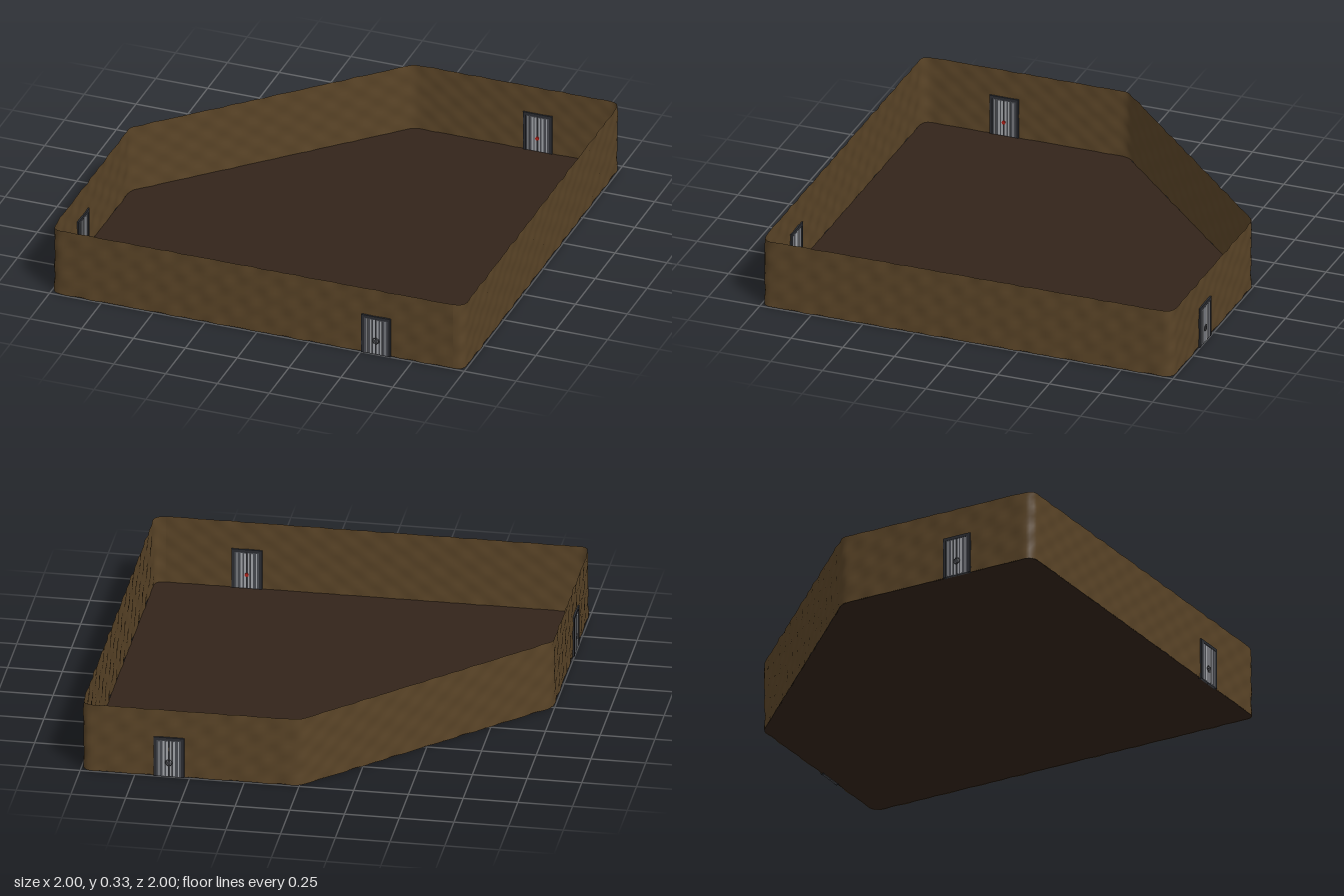
import * as THREE from 'three';

const HEIGHT = 0.33;
const EDGE = 0.993; // middle of the thin wall

const paint = (color, side = THREE.FrontSide) => new THREE.MeshStandardMaterial({ color, side, roughness: 0.9 });

function part(name, geometry, material, x = 0, y = 0, z = 0) {
  const mesh = new THREE.Mesh(geometry, material);
  mesh.name = name;
  mesh.position.set(x, y, z);
  return mesh;
}

// Five-sided plan with rounded corners; shape y is -z
function planShape() {
  const e = EDGE;
  const corners = [[e, -e, 0.05], [e, e, 0.05], [0, e, 0.03], [-e, 0, 0.03], [-e, -e, 0.05]]
    .map(([x, y, r]) => ({ p: new THREE.Vector2(x, y), r }));
  const shape = new THREE.Shape();
  corners.forEach(({ p, r }, i) => {
    const prev = corners[(i + 4) % 5].p, next = corners[(i + 1) % 5].p;
    const a = prev.clone().sub(p).setLength(r).add(p);
    const b = next.clone().sub(p).setLength(r).add(p);
    if (i === 0) shape.moveTo(a.x, a.y); else shape.lineTo(a.x, a.y);
    shape.quadraticCurveTo(p.x, p.y, b.x, b.y);
  });
  shape.closePath();
  return shape;
}

// Upright sheet around the plan, with shallow slanting ripples in the rock
function wallGeometry(shape) {
  const N = 400, ROWS = 14;
  const pts = shape.getSpacedPoints(N);
  const pos = [], index = [];
  for (let j = 0; j <= ROWS; j++) {
    const v = j / ROWS;
    for (let i = 0; i <= N; i++) {
      const k = i % N, p = pts[k];
      const t = pts[(k + 1) % N].clone().sub(pts[(k + N - 1) % N]).normalize();
      const a = (k / N) * Math.PI * 2;
      const bump = 0.0025 * Math.sin(a * 66 - v * 9) * Math.sin(v * 13 + a * 7)
        + 0.0015 * Math.sin(a * 37 + v * 17);
      pos.push(p.x + t.y * bump, v * HEIGHT, -(p.y - t.x * bump));
    }
  }
  const W = N + 1;
  for (let j = 0; j < ROWS; j++) {
    for (let i = 0; i < N; i++) {
      const a = j * W + i, b = a + 1, c = a + W, d = c + 1;
      index.push(a, b, d, a, d, c);
    }
  }
  const geo = new THREE.BufferGeometry();
  geo.setAttribute('position', new THREE.Float32BufferAttribute(pos, 3));
  geo.setIndex(index);
  geo.computeVertexNormals();
  return geo;
}

// Double steel door whose outside faces local +z
function makeDoor(name) {
  const door = new THREE.Group();
  door.name = name;
  const W = 0.14, H = 0.195, F = 0.014;
  const frame = paint(0x2b2d32), leaf = paint(0x4a4c52), rib = paint(0xa4a6ab);
  const dark = paint(0x3a3b3f), red = paint(0xb02018);

  for (const s of [-1, 1]) {
    door.add(part('doorJamb', new THREE.BoxGeometry(F, H, 0.015), frame, s * (W - F) / 2, H / 2));
    door.add(part('doorLeaf', new THREE.BoxGeometry(0.055, H - F, 0.0115), leaf, s * 0.0285, (H - F) / 2));
    // light vertical ribs on both faces
    for (const x of [0.009, 0.024, 0.044]) {
      const w = x < 0.03 ? 0.009 : 0.005;
      door.add(part('doorRib', new THREE.BoxGeometry(w, H - F - 0.008, 0.0135), rib, s * x, (H - F) / 2));
    }
  }
  door.add(part('doorLintel', new THREE.BoxGeometry(W, F, 0.015), frame, 0, H - F / 2));

  // locking wheel outside, red knob inside
  door.add(part('lockWheel', new THREE.TorusGeometry(0.014, 0.003, 8, 24), dark, 0, 0.07, 0.0055));
  const knob = new THREE.CylinderGeometry(0.009, 0.009, 0.008, 16).rotateX(Math.PI / 2);
  door.add(part('lockHub', knob, dark, 0, 0.07, 0.0035));
  door.add(part('lockKnob', knob, red, 0, 0.07, -0.007));
  return door;
}

export function createModel() {
  const model = new THREE.Group();
  model.name = 'walledRoom';
  const shape = planShape();

  const floor = new THREE.ShapeGeometry(shape, 12).rotateX(-Math.PI / 2);
  model.add(part('floor', floor, paint(0x33241a, THREE.DoubleSide), 0, 0.002));
  model.add(part('rockWall', wallGeometry(shape), paint(0x5a4427, THREE.DoubleSide)));

  // name, x, z, turn
  for (const [name, x, z, turn] of [
    ['frontDoor', 0.573, EDGE, 0],
    ['backDoor', 0.595, -EDGE, Math.PI],
    ['sideDoor', -EDGE, 0.6, -Math.PI / 2],
  ]) {
    const door = makeDoor(name);
    door.position.set(x, 0, z);
    door.rotation.y = turn;
    model.add(door);
  }
  return model;
}
